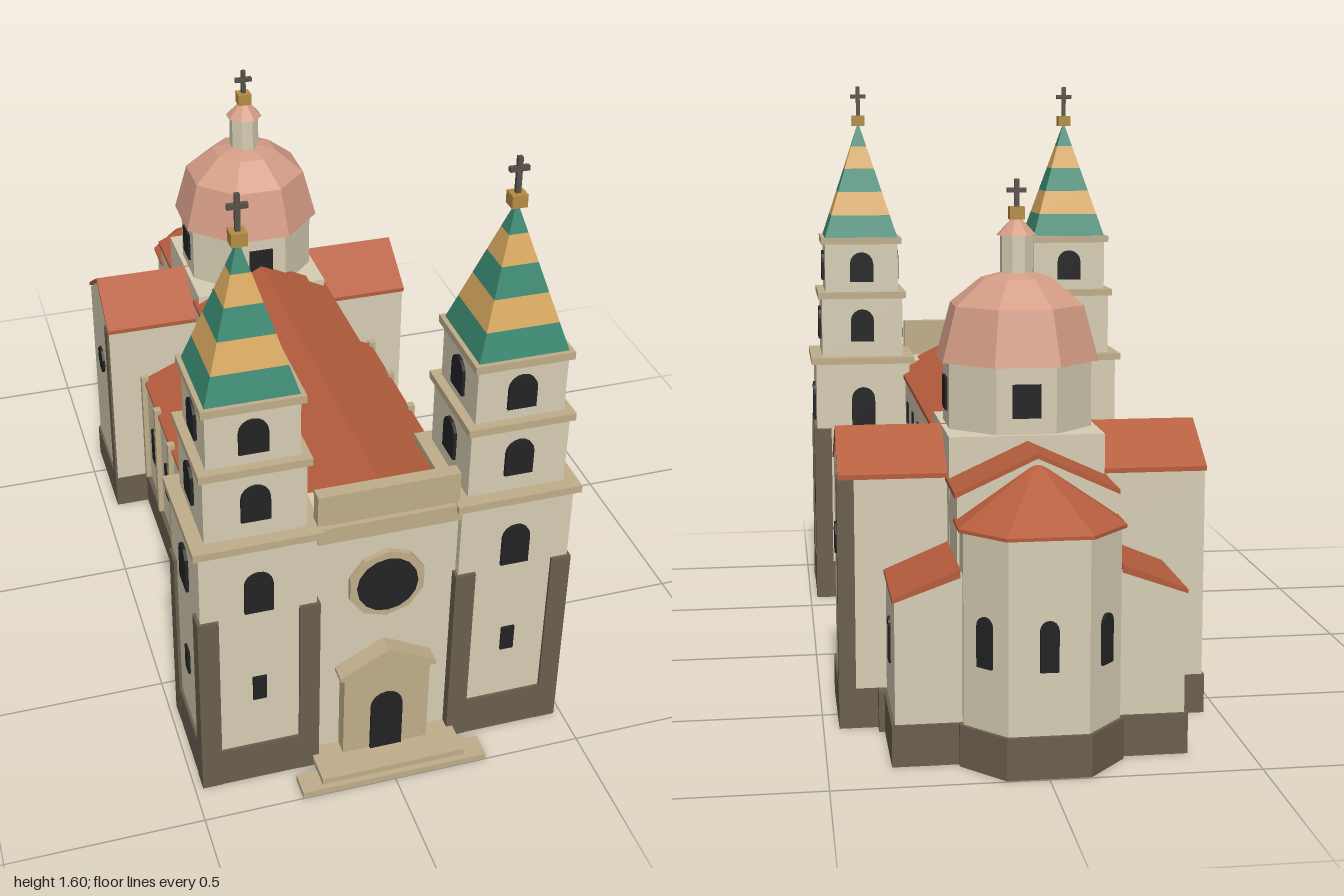
import * as THREE from 'three';

const mat = (name, color) => {
  const m = new THREE.MeshStandardMaterial({ color, flatShading: true });
  m.name = name;
  return m;
};

export function createModel() {
  const M = {
    wall: mat('cream plaster', 0xd6cdb3), trim: mat('tan stone', 0xbfae8a),
    stone: mat('dark stone', 0x6a5f4e), roof: mat('terracotta tile', 0xb65d3d),
    dome: mat('pink copper', 0xd39c85), green: mat('green tile', 0x398870),
    yellow: mat('yellow tile', 0xd8a85f), glass: mat('dark glass', 0x232325),
    gold: mat('gold', 0xb58d45), iron: mat('iron', 0x57514a),
  };
  const model = new THREE.Group();
  model.name = 'church';

  const add = (parent, name, geo, material) => {
    const m = new THREE.Mesh(geo, material);
    m.name = name;
    parent.add(m);
    return m;
  };
  // Box given by its limits on each axis
  const box = (p, name, material, x0, x1, y0, y1, z0, z1) => {
    const m = add(p, name, new THREE.BoxGeometry(x1 - x0, y1 - y0, z1 - z0), material);
    m.position.set((x0 + x1) / 2, (y0 + y1) / 2, (z0 + z1) / 2);
    return m;
  };
  const shapeOf = pts => new THREE.Shape(pts.map(p => new THREE.Vector2(...p)));
  // Cross-section in x,y extruded from z0 to z1
  const prism = (p, name, material, pts, z0, z1) => {
    const g = new THREE.ExtrudeGeometry(shapeOf(pts), { depth: z1 - z0, bevelEnabled: false });
    return add(p, name, g.translate(0, 0, z0), material);
  };
  // Plan outline in x,z extruded upwards
  const planPrism = (p, name, material, pts, y0, y1) => {
    const g = new THREE.ExtrudeGeometry(shapeOf(pts.map(([x, z]) => [x, -z])), { depth: y1 - y0, bevelEnabled: false });
    return add(p, name, g.rotateX(-Math.PI / 2).translate(0, y0, 0), material);
  };
  // Thin window plate, bottom centre at x,y,z, facing angle ry
  const pane = (p, name, w, h, x, y, z, ry = 0, arched = true) => {
    const s = new THREE.Shape(), r = w / 2;
    s.moveTo(-r, 0).lineTo(r, 0);
    if (arched) s.lineTo(r, h - r).absarc(0, h - r, r, 0, Math.PI, false);
    else s.lineTo(r, h).lineTo(-r, h);
    const g = new THREE.ExtrudeGeometry(s, { depth: 0.008, bevelEnabled: false, curveSegments: 4 });
    const m = add(p, name, g, M.glass);
    m.position.set(x, y, z);
    m.rotation.y = ry;
  };
  // Flat disc facing +z
  const disc = (p, name, material, r, sides, depth, x, y, z, ry = 0) => {
    const g = new THREE.CylinderGeometry(r, r, depth, sides).rotateX(Math.PI / 2).rotateZ(Math.PI / 2 + Math.PI / 2);
    const m = add(p, name, g, material);
    m.position.set(x, y, z);
    m.rotation.y = ry;
    return m;
  };
  // Gabled hall: solid walls with a tiled chevron roof
  const hall = (p, name, half, eave, ridge, z0, z1) => {
    const g = new THREE.Group();
    g.name = name;
    p.add(g);
    const t = 0.012;
    prism(g, name + 'Walls', M.wall, [[-half, 0.02], [half, 0.02], [half, eave - t], [0, ridge - t], [-half, eave - t]], z0, z1);
    prism(g, name + 'Roof', M.roof, [[-half - 0.006, eave - t], [0, ridge - t], [half + 0.006, eave - t],
      [half + 0.006, eave], [0, ridge], [-half - 0.006, eave]], z0 - 0.003, z1 + 0.003);
    return g;
  };
  const finial = (p, y, arm, top) => {
    box(p, 'finialBlock', M.gold, -0.019, 0.019, y, y + 0.032, -0.019, 0.019);
    box(p, 'crossPost', M.iron, -0.006, 0.006, y + 0.03, top, -0.006, 0.006);
    box(p, 'crossArm', M.iron, -0.024, 0.024, arm - 0.006, arm + 0.006, -0.006, 0.006);
  };
  const octagon = (rTop, rBottom, h) =>
    new THREE.CylinderGeometry(rTop, rBottom, h, 8).rotateY(Math.PI / 8);

  // Nave
  hall(model, 'nave', 0.195, 0.705, 0.805, -0.3, 0.8);
  box(model, 'navePlinth', M.stone, -0.365, 0.365, 0, 0.1, -0.64, 0.6);

  // Aisles and chapels on both sides
  for (const s of [1, -1]) {
    const leanTo = (name, xOut, yOut, yIn, z0, z1) => {
      const order = pts => (s > 0 ? pts : pts.map(([x, y]) => [-x, y]).reverse());
      prism(model, name + 'Walls', M.wall, order([[0.15, 0.02], [xOut, 0.02], [xOut, yOut], [0.15, yIn]]), z0, z1);
      prism(model, name + 'Roof', M.roof, order([[0.19, yIn - 0.02], [xOut + 0.005, yOut - 0.005], [xOut + 0.005, yOut + 0.005], [0.19, yIn]]), z0 - 0.003, z1 + 0.003);
    };
    leanTo('aisle', 0.353, 0.445, 0.523, -0.31, 0.6);
    leanTo('chapel', 0.343, 0.395, 0.466, -0.872, -0.6);
    const ry = s * Math.PI / 2;
    for (let i = 0; i < 5; i++) {
      const z = 0.502 - i * 0.179;
      pane(model, 'aisleWindow', 0.046, 0.12, s * 0.35, 0.21, z, ry);
      pane(model, 'clerestoryWindow', 0.038, 0.062, s * 0.191, 0.57, z, ry, false);
      const zp = z - 0.09;
      box(model, 'aislePilaster', M.trim, s * 0.358 - 0.01, s * 0.358 + 0.01, 0.1, 0.465, zp - 0.011, zp + 0.011);
    }
    pane(model, 'chapelWindow', 0.038, 0.11, s * 0.34, 0.21, -0.73, ry);
    // Transept end: round window and dark corner strip
    disc(model, 'transeptRoundWindow', M.glass, 0.041, 8, 0.012, s * 0.456, 0.45, -0.457, ry).rotateZ(Math.PI / 8);
    const zc = s > 0 ? -0.582 : -0.334;
    box(model, 'transeptCornerStrip', M.stone, s * 0.44 - 0.021, s * 0.44 + 0.021, 0, 0.633, zc - 0.02, zc + 0.02);
  }
  box(model, 'chapelPlinth', M.stone, -0.351, 0.351, 0, 0.1, -0.878, -0.6);

  // Transept and crossing
  const transept = hall(model, 'transept', 0.144, 0.638, 0.735, -0.455, 0.455);
  transept.rotation.y = Math.PI / 2;
  transept.position.z = -0.457;
  box(model, 'transeptPlinth', M.stone, -0.461, 0.461, 0, 0.1, -0.605, -0.31);
  box(model, 'crossing', M.wall, -0.191, 0.191, 0.1, 0.733, -0.648, -0.268);

  // Chancel and apse
  hall(model, 'chancel', 0.19, 0.63, 0.72, -0.81, -0.6);
  const apsePlan = k => [[0.185 + k, -0.78], [0.185 + k, -0.888 - k * 0.4], [0.094 + k * 0.5, -0.987 - k], [-0.094 - k * 0.5, -0.987 - k], [-0.185 - k, -0.888 - k * 0.4], [-0.185 - k, -0.78]];
  planPrism(model, 'apseWalls', M.wall, apsePlan(0), 0.05, 0.565);
  planPrism(model, 'apsePlinth', M.stone, apsePlan(0.009), 0, 0.1);
  planPrism(model, 'apseEave', M.roof, apsePlan(0.011), 0.557, 0.565);
  const eave = apsePlan(0.011), tri = [];
  eave.forEach(([x, z], i) => {
    const [x2, z2] = eave[(i + 1) % eave.length];
    tri.push(x, 0.565, z, x2, 0.565, z2, 0, 0.7, -0.8);
  });
  const apseRoof = new THREE.BufferGeometry();
  apseRoof.setAttribute('position', new THREE.Float32BufferAttribute(tri, 3));
  apseRoof.computeVertexNormals();
  add(model, 'apseRoof', apseRoof, M.roof);
  pane(model, 'apseWindow', 0.044, 0.12, 0, 0.25, -0.985, Math.PI);
  for (const s of [1, -1])
    pane(model, 'apseWindow', 0.044, 0.12, s * 0.139, 0.25, -0.937, s * Math.atan2(0.099, -0.091));

  // Dome over the crossing
  const dome = new THREE.Group();
  dome.name = 'dome';
  dome.position.z = -0.457;
  model.add(dome);
  const c8 = 1 / Math.cos(Math.PI / 8);
  add(dome, 'drum', octagon(0.178 * c8, 0.178 * c8, 0.18), M.wall).position.y = 0.815;
  const profile = [[0, 0.898], [0.195, 0.898], [0.16, 1.035], [0.085, 1.1], [0, 1.125]].map(([r, y]) => new THREE.Vector2(r * c8, y));
  add(dome, 'domeShell', new THREE.LatheGeometry(profile, 8).rotateY(Math.PI / 8), M.dome);
  for (let i = 0; i < 4; i++) {
    const a = i * Math.PI / 2;
    pane(dome, 'drumWindow', 0.07, 0.083, Math.sin(a) * 0.176, 0.773, Math.cos(a) * 0.176, a, false);
  }
  add(dome, 'lantern', octagon(0.042, 0.042, 0.11), M.wall).position.y = 1.155;
  add(dome, 'lanternCap', octagon(0.012, 0.052, 0.042), M.dome).position.y = 1.227;
  finial(dome, 1.245, 1.317, 1.345);

  // Twin towers
  const bands = [1.13, 1.2, 1.272, 1.343, 1.412, 1.48];
  const spireR = y => 0.113 * (1.487 - y) / 0.357;
  for (const s of [1, -1]) {
    const t = new THREE.Group();
    t.name = s > 0 ? 'leftTower' : 'rightTower';
    t.position.set(s * 0.327, 0, 0.745);
    model.add(t);
    const block = (name, m, h, y0, y1) => box(t, name, m, -h, h, y0, y1, -h, h);
    block('towerPlinth', M.stone, 0.152, 0, 0.113);
    for (const x of [-0.127, 0.127]) for (const z of [-0.127, 0.127])
      box(t, 'cornerPilaster', M.stone, x - 0.026, x + 0.026, 0, 0.54, z - 0.026, z + 0.026);
    const stages = [[0.145, 0.1, 0.745, 0.55, 0.118], [0.125, 0.76, 0.947, 0.81, 0.1], [0.113, 0.963, 1.115, 0.995, 0.092]];
    for (const [h, y0, y1, wy, wh] of stages) {
      block('towerStage', M.wall, h, y0, y1);
      block('towerCornice', M.trim, h + (h > 0.14 ? 0.015 : 0.011), y1 - 0.003, y1 + 0.017);
      for (let i = 0; i < 4; i++) {
        const a = i * Math.PI / 2;
        pane(t, 'towerWindow', 0.072, wh, Math.sin(a) * h, wy, Math.cos(a) * h, a);
      }
    }
    pane(t, 'towerSlit', 0.035, 0.072, 0, 0.267, 0.143, 0, false);
    pane(t, 'towerSlit', 0.035, 0.072, s * 0.143, 0.267, 0, s * Math.PI / 2, false);
    // Banded spire
    for (let i = 0; i < 5; i++) {
      const g = new THREE.CylinderGeometry(spireR(bands[i + 1]) * Math.SQRT2, spireR(bands[i]) * Math.SQRT2, bands[i + 1] - bands[i], 4).rotateY(Math.PI / 4);
      add(t, 'spireBand', g, i % 2 ? M.yellow : M.green).position.y = (bands[i] + bands[i + 1]) / 2;
    }
    finial(t, 1.475, 1.567, 1.597);
  }

  // Central front with portal, rose window and parapet
  box(model, 'facade', M.wall, -0.182, 0.182, 0, 0.735, 0.715, 0.87);
  box(model, 'facadeCornice', M.trim, -0.182, 0.182, 0.715, 0.76, 0.845, 0.893);
  box(model, 'parapet', M.trim, -0.178, 0.178, 0.74, 0.845, 0.845, 0.88);
  disc(model, 'roseRing', M.trim, 0.1, 10, 0.024, 0, 0.55, 0.872);
  disc(model, 'roseGlass', M.glass, 0.078, 16, 0.03, 0, 0.55, 0.875);
  box(model, 'portal', M.trim, -0.113, 0.113, 0, 0.3, 0.86, 0.91);
  prism(model, 'portalGable', M.trim, [[-0.126, 0.287], [0.126, 0.287], [0.126, 0.297], [0, 0.365], [-0.126, 0.297]], 0.86, 0.918);
  pane(model, 'door', 0.084, 0.182, 0, 0.036, 0.909);
  box(model, 'lowerStep', M.trim, -0.245, 0.245, 0, 0.018, 0.935, 1);
  box(model, 'upperStep', M.trim, -0.19, 0.19, 0.015, 0.035, 0.86, 0.985);
  return model;
}
